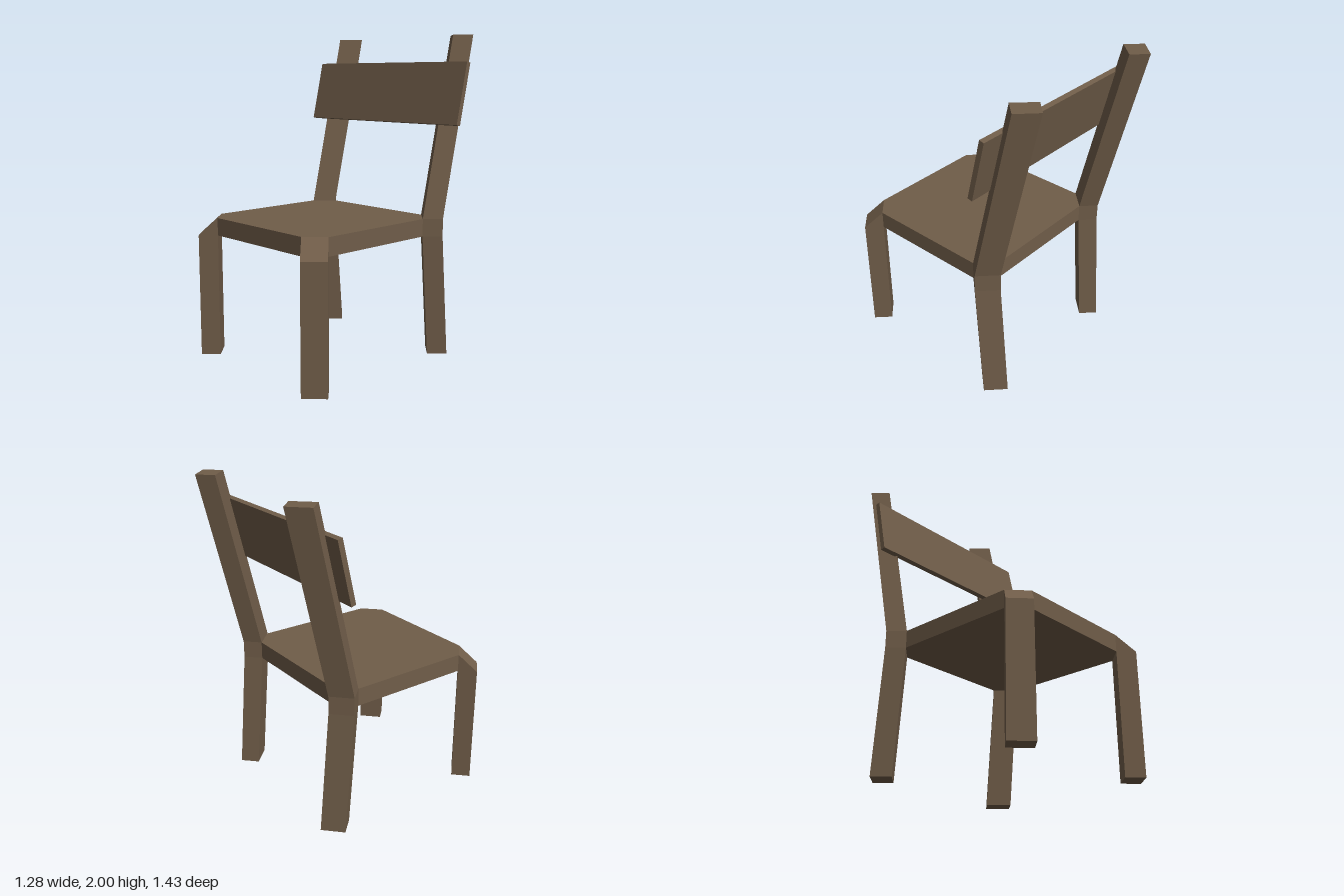
import * as THREE from 'three';

// Join matching cross-sections (counter-clockwise seen from above) into a closed solid.
function loft(rings) {
  const pos = [];
  const tri = (a, b, c) => pos.push(...a, ...b, ...c);
  const n = rings[0].length;
  for (let k = 0; k < rings.length - 1; k++) {
    const low = rings[k], high = rings[k + 1];
    for (let i = 0; i < n; i++) {
      const j = (i + 1) % n;
      tri(low[i], low[j], high[j]);
      tri(low[i], high[j], high[i]);
    }
  }
  const bottom = rings[0], top = rings[rings.length - 1];
  for (let i = 1; i < n - 1; i++) {
    tri(top[0], top[i], top[i + 1]);
    tri(bottom[0], bottom[i + 1], bottom[i]);
  }
  const geometry = new THREE.BufferGeometry();
  geometry.setAttribute('position', new THREE.Float32BufferAttribute(pos, 3));
  geometry.computeVertexNormals();
  return geometry;
}

// Mirror a cross-section across x, keeping its winding.
const mirrorRing = (ring) => ring.map(([x, y, z]) => [-x, y, z]).reverse();

export function createModel() {
  const chair = new THREE.Group();
  chair.name = 'chair';
  const wood = new THREE.MeshStandardMaterial({ color: 0x705d49 });
  wood.name = 'brown wood';

  const frame = new THREE.Group();
  frame.name = 'frame';
  frame.position.x = -0.0175;
  chair.add(frame);

  const add = (parent, name, geometry) => {
    const mesh = new THREE.Mesh(geometry, wood);
    mesh.name = name;
    parent.add(mesh);
    return mesh;
  };

  const seatBottom = 0.77, seatTop = 0.88;

  // Seat: a square slab with cut corners that meet the legs
  const outline = [
    [0.5025, 0.525], [0.5025, -0.265], [0.395, -0.375], [-0.395, -0.375],
    [-0.5025, -0.265], [-0.5025, 0.525], [-0.395, 0.63], [0.395, 0.63],
  ];
  add(frame, 'seat', loft([seatBottom, seatTop].map((y) => outline.map(([x, z]) => [x, y, z]))));

  // Front legs: diagonal square posts with tops sloping down and outwards
  const frontSection = [[0.5875, 0.61], [0.5025, 0.525], [0.395, 0.63], [0.48, 0.715]];
  const frontTops = [seatBottom, seatTop, seatTop, seatBottom];
  const frontRings = [
    frontSection.map(([x, z]) => [x, 0, z]),
    frontSection.map(([x, z], i) => [x, frontTops[i], z]),
  ];

  // Back legs: diagonal posts bent at the seat, [height, z shift]
  const backSection = [[0.5875, -0.355], [0.48, -0.46], [0.395, -0.375], [0.5025, -0.265]];
  const backRings = [[0, -0.063], [seatBottom, 0], [seatTop, 0], [2, -0.259]].map(
    ([y, shift]) => backSection.map(([x, z]) => [x, y, z + shift]));

  for (const [side, rings] of [['left', (r) => r], ['right', mirrorRing]]) {
    add(frame, side + 'FrontLeg', loft(frontRings.map(rings)));
    add(frame, side + 'BackLeg', loft(backRings.map(rings)));
  }

  // Backrest board, leaning with the back posts
  const board = add(chair, 'backrest', new THREE.BoxGeometry(1.285, 0.388, 0.032));
  board.position.set(-0.0025, 1.643, -0.439);
  board.rotation.x = -Math.atan2(0.259, 1.12);

  return chair;
}
